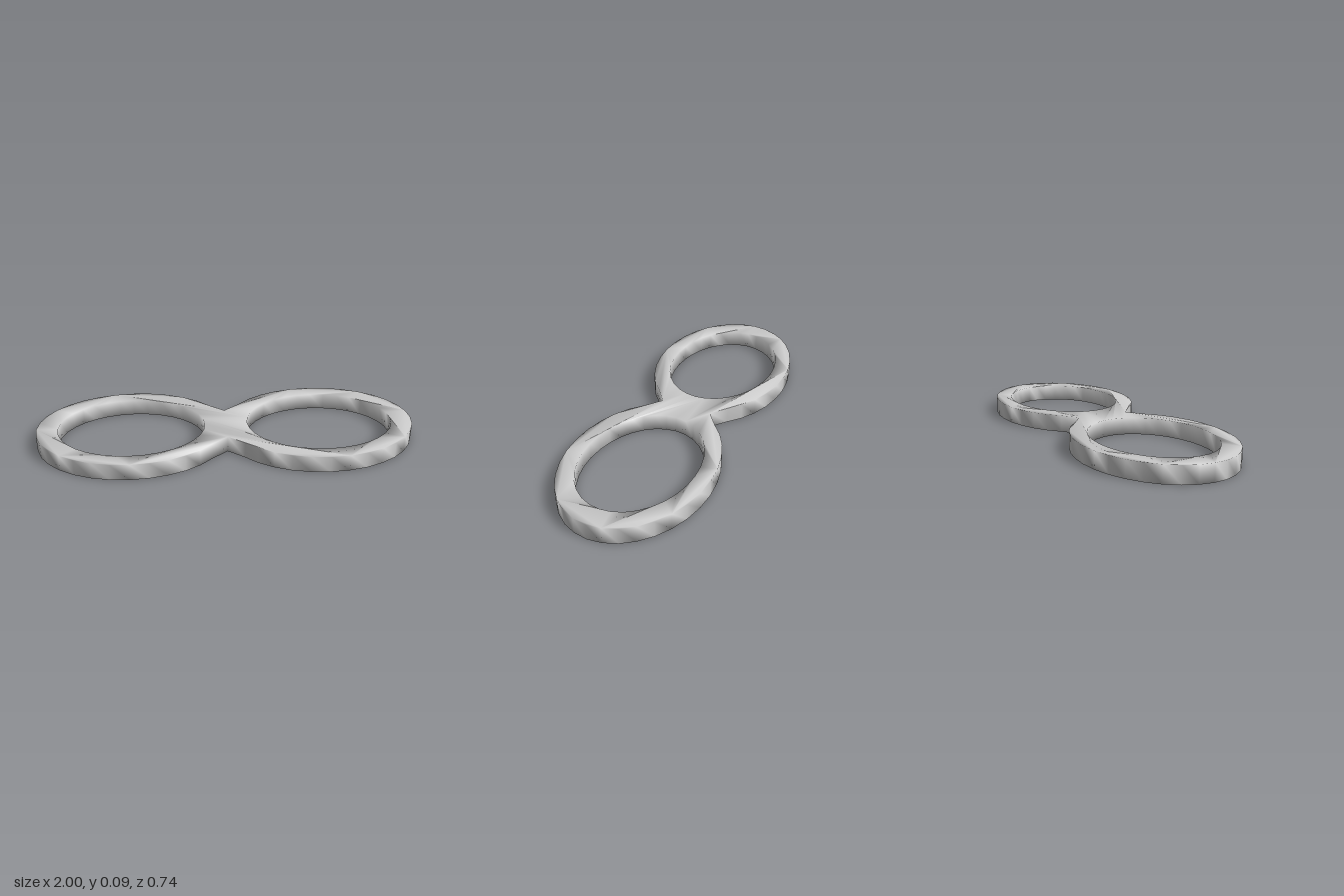
import * as THREE from 'three';
import { mergeVertices } from 'three/addons/utils/BufferGeometryUtils.js';

const HEIGHT = 0.088, CENTRE = 0.5, STEP = Math.PI / 16;

// Points on an ellipse around (cx, 0), from step a to step b
function arc(cx, rx, rz, a, b) {
  const pts = [];
  for (let i = a; i <= b; i++) {
    pts.push(new THREE.Vector2(cx + rx * Math.cos(i * STEP), rz * Math.sin(i * STEP)));
  }
  return pts;
}

export function createModel() {
  const group = new THREE.Group();
  group.name = 'doubleRing';

  // Outer outline: two ellipses that meet at a pinched waist
  const outline = new THREE.Shape([
    ...arc(CENTRE, 0.5, 0.37, -13, 13),
    new THREE.Vector2(0, 0.14),
    ...arc(-CENTRE, 0.5, 0.37, 3, 29),
    new THREE.Vector2(0, -0.14),
  ]);

  // Oval finger holes
  for (const side of [-1, 1]) {
    outline.holes.push(new THREE.Path(arc(side * CENTRE, 0.387, 0.288, 0, 31).reverse()));
  }

  // Square section, with corners shared so the shading runs smoothly around it
  let geometry = new THREE.ExtrudeGeometry(outline, { depth: HEIGHT, bevelEnabled: false });
  geometry.deleteAttribute('normal');
  geometry.deleteAttribute('uv');
  geometry = mergeVertices(geometry, 1e-4);
  geometry.rotateX(-Math.PI / 2);
  geometry.computeVertexNormals();

  const rings = new THREE.Mesh(geometry, new THREE.MeshStandardMaterial({ color: 0xcccccc }));
  rings.name = 'joinedRings';
  group.add(rings);
  return group;
}
